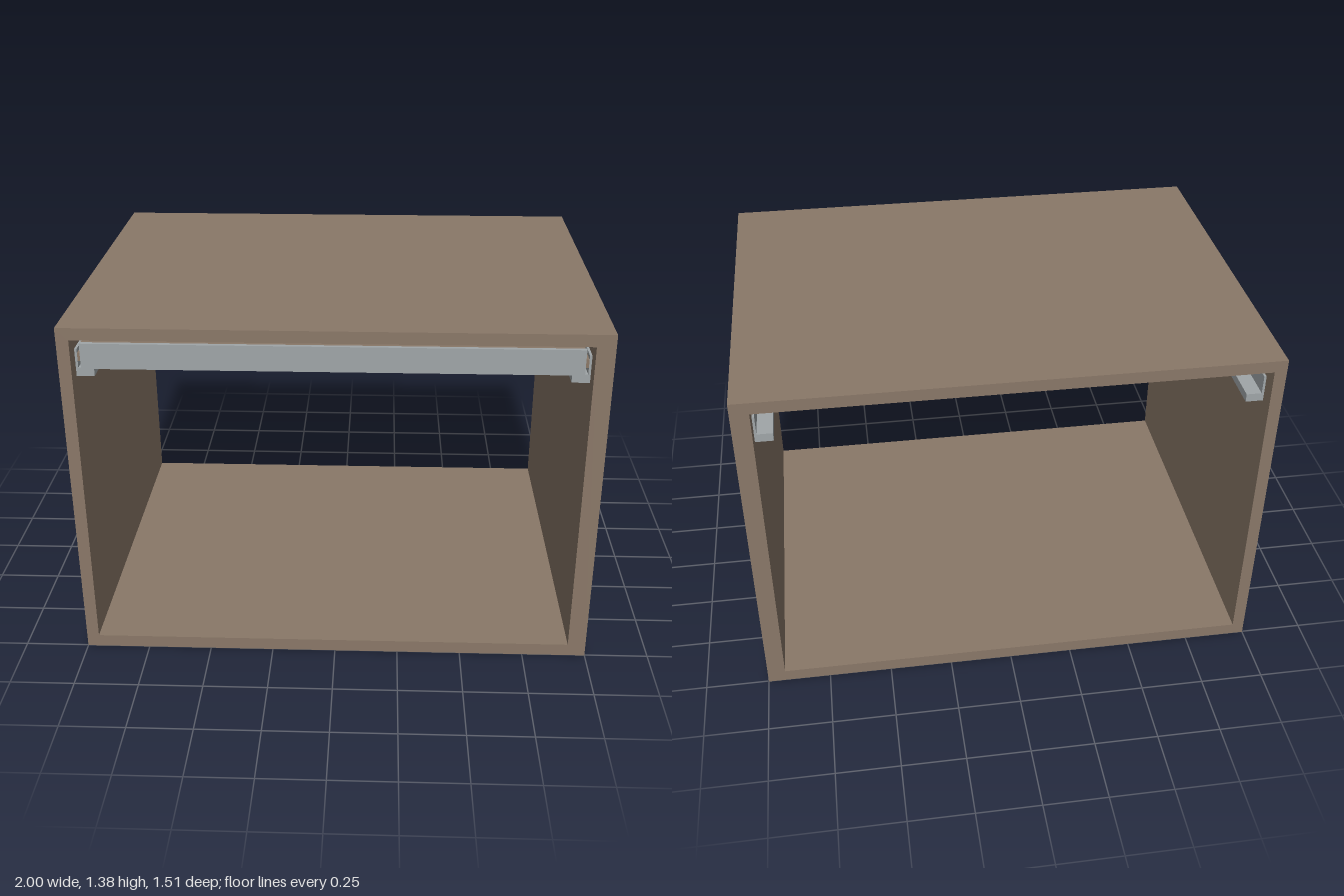
import * as THREE from 'three';

export function createModel() {
  const model = new THREE.Group();
  const wood = new THREE.MeshStandardMaterial({ color: 0x8a7868 });
  wood.name = 'brown wood';
  const metal = new THREE.MeshStandardMaterial({ color: 0xa0a6a8 });
  metal.name = 'grey metal';

  // box given by its lower and upper limits on each axis
  function box(name, material, [x0, x1], [y0, y1], [z0, z1], parent = model) {
    const mesh = new THREE.Mesh(new THREE.BoxGeometry(x1 - x0, y1 - y0, z1 - z0), material);
    mesh.position.set((x0 + x1) / 2, (y0 + y1) / 2, (z0 + z1) / 2);
    mesh.name = name;
    parent.add(mesh);
    return mesh;
  }

  function rectangle(Type, x0, x1, y0, y1) {
    const points = [[x0, y0], [x1, y0], [x1, y1], [x0, y1]];
    return new Type(points.map(([x, y]) => new THREE.Vector2(x, y)));
  }

  // Cabinet shell, open at front and back
  const outline = rectangle(THREE.Shape, -1, 1, 0, 1.375);
  outline.holes.push(rectangle(THREE.Path, -0.953, 0.93, 0.05, 1.328));
  const shellGeometry = new THREE.ExtrudeGeometry(outline, { depth: 1.506, bevelEnabled: false });
  shellGeometry.translate(0, 0, -0.753);
  const shell = new THREE.Mesh(shellGeometry, wood);
  shell.name = 'cabinetShell';
  model.add(shell);

  // Sliding tray, centred in the opening, which sits slightly off centre
  const tray = new THREE.Group();
  tray.name = 'slidingTray';
  tray.position.x = -0.0115;
  model.add(tray);
  box('trayBoard', wood, [-0.915, 0.915], [1.254, 1.296], [-0.487, 0.69], tray);

  // Frame under the board, with side tongues that reach into the rails
  const frame = rectangle(THREE.Shape, -0.932, 0.932, -0.69, 0.487);
  frame.holes.push(rectangle(THREE.Path, -0.846, 0.846, -0.656, 0.448));
  const frameGeometry = new THREE.ExtrudeGeometry(frame, { depth: 0.032, bevelEnabled: false });
  frameGeometry.rotateX(-Math.PI / 2);
  const trayFrame = new THREE.Mesh(frameGeometry, wood);
  trayFrame.position.y = 1.222;
  trayFrame.name = 'trayFrame';
  tray.add(trayFrame);

  // Front strip of the tray
  box('trayFront', metal, [-0.918, 0.918], [1.198, 1.297], [0.69, 0.706], tray);

  // L-shaped rails on both side walls
  for (const [side, label] of [[1, 'left'], [-1, 'right']]) {
    const span = (a, b) => [Math.min(side * a, side * b), Math.max(side * a, side * b)];
    const rail = new THREE.Group();
    rail.name = label + 'Rail';
    rail.position.x = -0.0115;
    model.add(rail);
    box('railLedge', metal, span(0.874, 0.941), [1.163, 1.196], [-0.69, 0.69], rail);
    box('railFlange', metal, span(0.932, 0.941), [1.196, 1.27], [-0.69, 0.69], rail);
  }

  return model;
}
